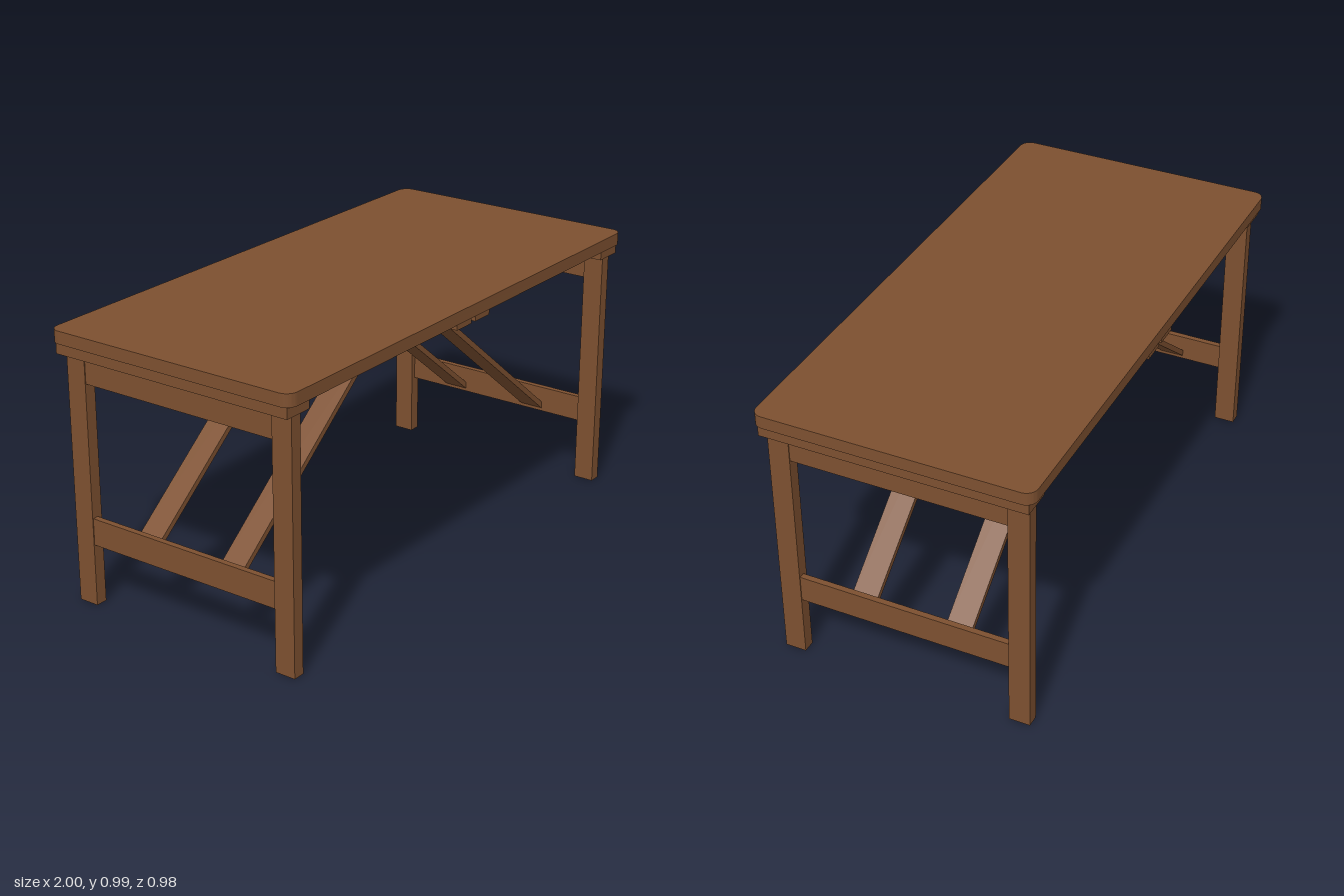
import * as THREE from 'three';
import { toCreasedNormals } from 'three/addons/utils/BufferGeometryUtils.js';

export function createModel() {
  const table = new THREE.Group();
  table.name = 'trestleTable';
  const wood = new THREE.MeshStandardMaterial({ color: 0x7d5030 });

  const add = (name, geometry, parent = table) => {
    const mesh = new THREE.Mesh(geometry, wood);
    mesh.name = name;
    parent.add(mesh);
    return mesh;
  };

  // Box given by its minimum and maximum on each axis
  const board = (name, [x0, x1], [y0, y1], [z0, z1], parent) =>
    add(name, new THREE.BoxGeometry(x1 - x0, y1 - y0, z1 - z0), parent)
      .position.set((x0 + x1) / 2, (y0 + y1) / 2, (z0 + z1) / 2);

  // Table top with rounded corners
  const w = 1, d = 0.488, r = 0.04;
  const outline = new THREE.Shape();
  outline.absarc(w - r, d - r, r, 0, Math.PI / 2);
  outline.absarc(-w + r, d - r, r, Math.PI / 2, Math.PI);
  outline.absarc(-w + r, -d + r, r, Math.PI, Math.PI * 1.5);
  outline.absarc(w - r, -d + r, r, Math.PI * 1.5, Math.PI * 2);
  outline.closePath();
  const topGeometry = new THREE.ExtrudeGeometry(outline, { depth: 0.045, bevelEnabled: false, curveSegments: 8 });
  topGeometry.rotateX(-Math.PI / 2).translate(0, 0.94, 0);
  add('tableTop', toCreasedNormals(topGeometry, 0.6));

  // Side profile of a brace: level cut under the top, plumb cut at the rail
  const braceProfile = new THREE.Shape([
    new THREE.Vector2(0.932, 0.236),
    new THREE.Vector2(0.932, 0.262),
    new THREE.Vector2(0.081, 0.939),
    new THREE.Vector2(0.048, 0.939),
  ]);

  for (const side of [1, -1]) {
    const half = new THREE.Group();
    half.name = side > 0 ? 'leftTrestle' : 'rightTrestle';
    const span = (a, b) => (side > 0 ? [a, b] : [-b, -a]);

    // Cleats under the top
    board('endCleat', span(0.88, 0.99), [0.9, 0.94], [-0.47, 0.47], half);
    board('centreCleat', span(0.012, 0.098), [0.92, 0.94], [-0.485, 0.485], half);

    // Legs
    for (const z of [0.422, -0.42])
      board(z > 0 ? 'frontLeg' : 'backLeg', span(0.912, 0.956), [0, 0.9], [z - 0.038, z + 0.038], half);

    // Rails between the legs
    board('upperRail', span(0.931, 0.953), [0.803, 0.9], [-0.383, 0.385], half);
    board('lowerRail', span(0.931, 0.953), [0.225, 0.322], [-0.383, 0.385], half);

    // Diagonal braces; the opposite end is the same pair turned half round
    for (const z of [0.168, -0.181]) {
      const brace = new THREE.ExtrudeGeometry(braceProfile, { depth: 0.091, bevelEnabled: false });
      brace.translate(0, 0, -0.0455);
      if (side < 0) brace.rotateY(Math.PI);
      add('brace', brace, half).position.z = z;
    }
    table.add(half);
  }
  return table;
}
